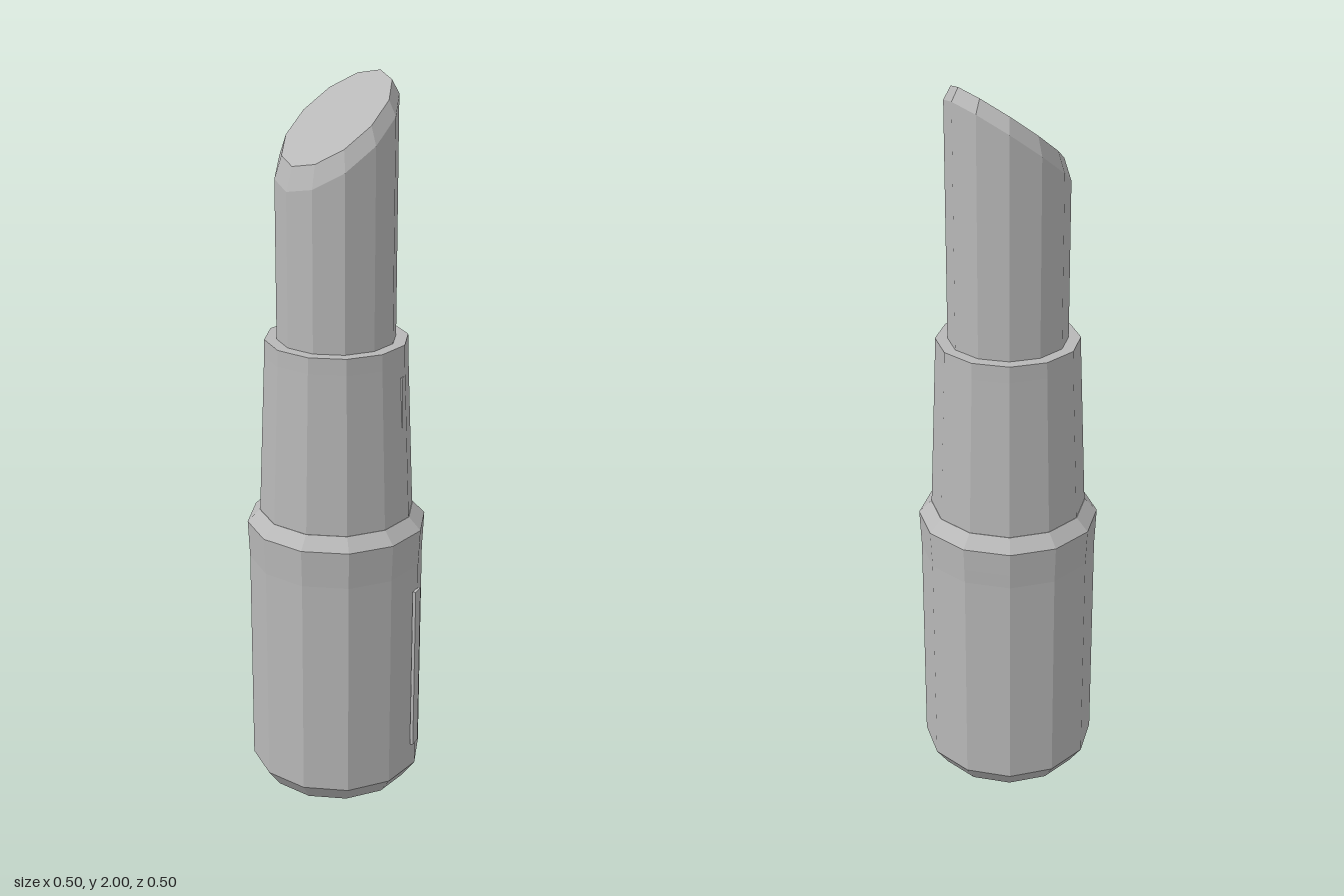
import * as THREE from 'three';

const SIDES = 12;

export function createModel() {
  const group = new THREE.Group();
  const grey = new THREE.MeshStandardMaterial({ color: 0xb8b8b8, flatShading: true });
  grey.name = 'plain grey';

  const add = (name, geometry) => {
    const mesh = new THREE.Mesh(geometry, grey);
    mesh.name = name;
    group.add(mesh);
    return mesh;
  };
  const lathe = (profile) =>
    new THREE.LatheGeometry(profile.map(([r, y]) => new THREE.Vector2(r, y)), SIDES);

  // Case with chamfered foot, slightly flared collar and sloping shoulder
  add('case', lathe([
    [0, 0], [0.207, 0], [0.243, 0.05], [0.243, 0.68], [0.245, 0.72],
    [0.248, 0.785], [0.214, 0.82], [0, 0.82],
  ]));

  // Tapered inner sleeve with a straight rim
  add('sleeve', lathe([
    [0.213, 0.815], [0.195, 1.265], [0.194, 1.31], [0.15, 1.31],
  ]));

  // Stick: the upper rings are sheared along x to make the slanted, bevelled tip
  const stick = lathe([[0.161, 1.28], [0.161, 1.845], [0.142, 1.893], [0, 1.893]]);
  const pos = stick.attributes.position;
  for (let i = 0; i < pos.count; i++) {
    if (pos.getY(i) > 1.5) pos.setY(i, pos.getY(i) + 0.755 * pos.getX(i));
  }
  stick.computeVertexNormals();
  add('stick', stick);

  // Narrow highlight strips lying on the case and sleeve, at the front left
  const strip = (name, width, height, radius, y, tilt) => {
    const mesh = add(name, new THREE.BoxGeometry(width, height, 0.009));
    const angle = Math.PI * 0.153;
    mesh.position.set(radius * Math.sin(angle), y, radius * Math.cos(angle));
    mesh.rotation.set(tilt, angle, 0, 'YXZ');
  };
  strip('caseStrip', 0.035, 0.485, 0.244, 0.367, 0);
  strip('sleeveStrip', 0.024, 0.14, 0.1935, 1.155, -0.025);

  return group;
}
